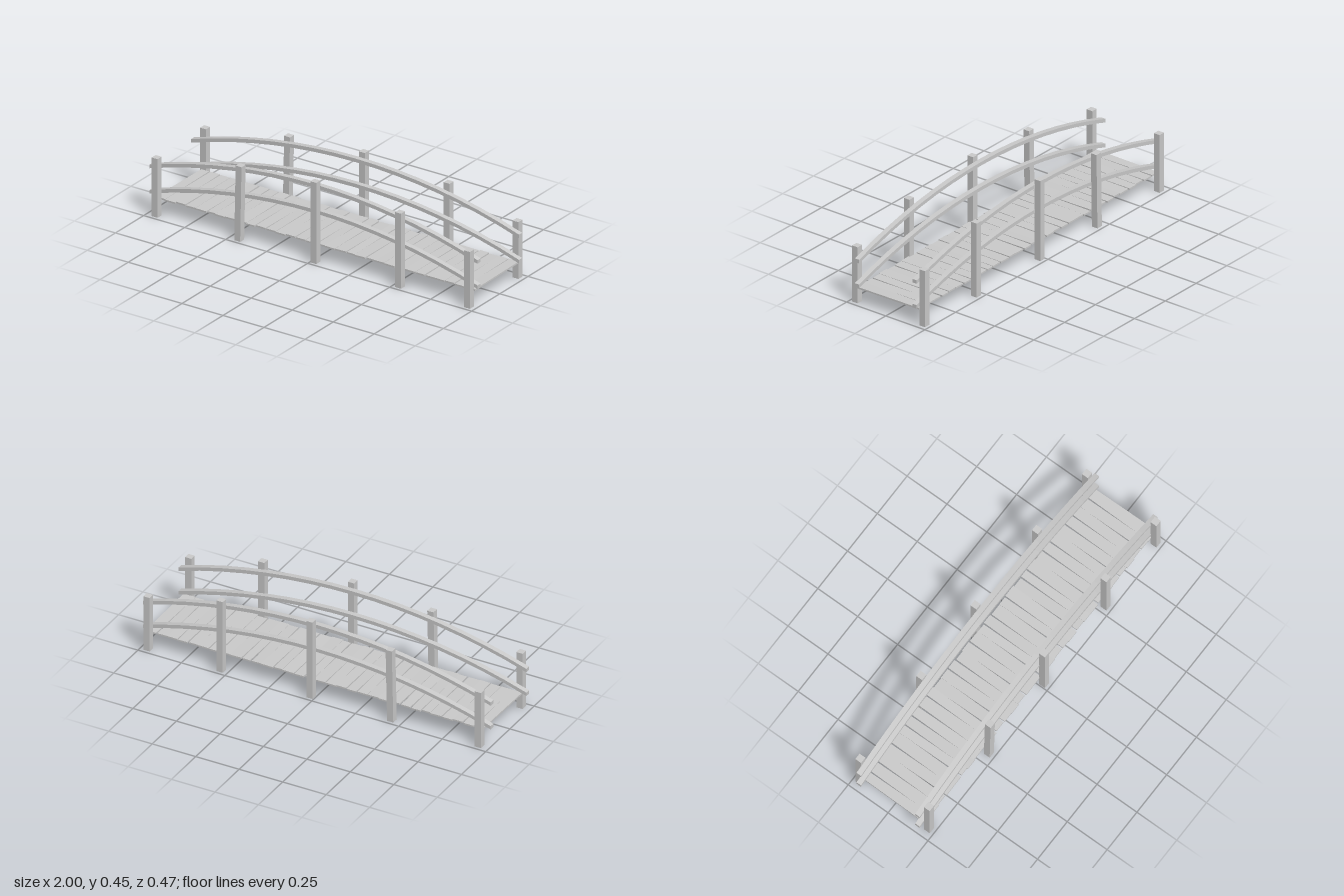
import * as THREE from 'three';

const material = new THREE.MeshStandardMaterial({ color: 0xcccccc, flatShading: true });

// Arched rail: constant-height bar following a shallow circular arc
function railGeometry(endY, rise, thickness, depth, segments = 16) {
  const radius = (1 + rise * rise) / (2 * rise);
  const arcY = (x) => endY + rise - radius + Math.sqrt(radius * radius - x * x);
  const upper = [], lower = [];
  for (let i = 0; i <= segments; i++) {
    const x = -1 + (2 * i) / segments;
    upper.push(new THREE.Vector2(x, arcY(x) + thickness / 2));
    lower.push(new THREE.Vector2(x, arcY(x) - thickness / 2));
  }
  const shape = new THREE.Shape([...lower, ...upper.reverse()]);
  return new THREE.ExtrudeGeometry(shape, { depth, bevelEnabled: false });
}

// Plank whose two long edges are skewed, leaving tapered gaps to its neighbours
function plankGeometry(left, right, leftOpen, rightOpen, halfLength) {
  const gap = 0.004;
  const geometry = new THREE.BoxGeometry(1, 0.009, 2 * halfLength);
  const p = geometry.attributes.position;
  for (let i = 0; i < p.count; i++) {
    const end = Math.sign(p.getZ(i));
    const x = p.getX(i) < 0
      ? left + (end === leftOpen ? gap : -0.001)
      : right - (end === rightOpen ? gap : -0.001);
    p.setX(i, x);
  }
  geometry.computeVertexNormals();
  return geometry;
}

export function createModel() {
  const bridge = new THREE.Group();
  bridge.name = 'footbridge';
  const add = (geometry, name, parent) => {
    const mesh = new THREE.Mesh(geometry, material);
    mesh.name = name;
    parent.add(mesh);
    return mesh;
  };

  // Deck planks: edges along x, and the side each gap opens to
  const edges = [-0.96, -0.905, -0.84, -0.78, -0.72, -0.65, -0.6, -0.54, -0.48, -0.41, -0.355,
    -0.29, -0.23, -0.17, -0.11, -0.05, 0.02, 0.07, 0.13, 0.2, 0.25, 0.32, 0.38, 0.43, 0.5,
    0.56, 0.62, 0.68, 0.74, 0.8, 0.86, 0.92, 0.985];
  const opensToFront = new Set([3, 5, 10, 11, 14, 16, 19, 21, 24, 27, 30]);
  const openSide = (i) => (opensToFront.has(i) ? 1 : -1);
  const deck = new THREE.Group();
  deck.name = 'deck';
  bridge.add(deck);
  for (let i = 0; i < edges.length - 1; i++) {
    const middle = (edges[i] + edges[i + 1]) / 2;
    const half = 0.198 + 0.003 * Math.sin(i * 2.3);
    const plank = add(plankGeometry(edges[i] - middle, edges[i + 1] - middle,
      openSide(i), openSide(i + 1), half), 'plank', deck);
    plank.position.set(middle, 0.092 + 0.001 * Math.sin(i * 4.1), 0);
    plank.rotation.x = 0.004 * Math.sin(i * 1.7);
    plank.rotation.z = 0.02 * Math.sin(i * 2.9);
  }

  // Posts and rails on both sides: post x, height and slight lean
  const posts = [[-0.945, 0.325, 0], [-0.437, 0.416, -0.02], [0.023, 0.45, 0],
    [0.54, 0.416, 0], [0.96, 0.315, 0]];
  for (const side of [1, -1]) {
    const railing = new THREE.Group();
    railing.name = side > 0 ? 'frontRailing' : 'backRailing';
    bridge.add(railing);
    for (const [x, height, lean] of posts) {
      const post = add(new THREE.BoxGeometry(0.036, height, 0.036), 'post', railing);
      post.position.set(x, height / 2, side * 0.215);
      post.rotation.z = lean;
    }
    for (const [name, endY] of [['topRail', 0.252], ['lowerRail', 0.112]]) {
      const rail = add(railGeometry(endY, 0.158, 0.02, 0.028), name, railing);
      rail.position.z = side > 0 ? 0.17 : -0.198;
    }
  }
  return bridge;
}
